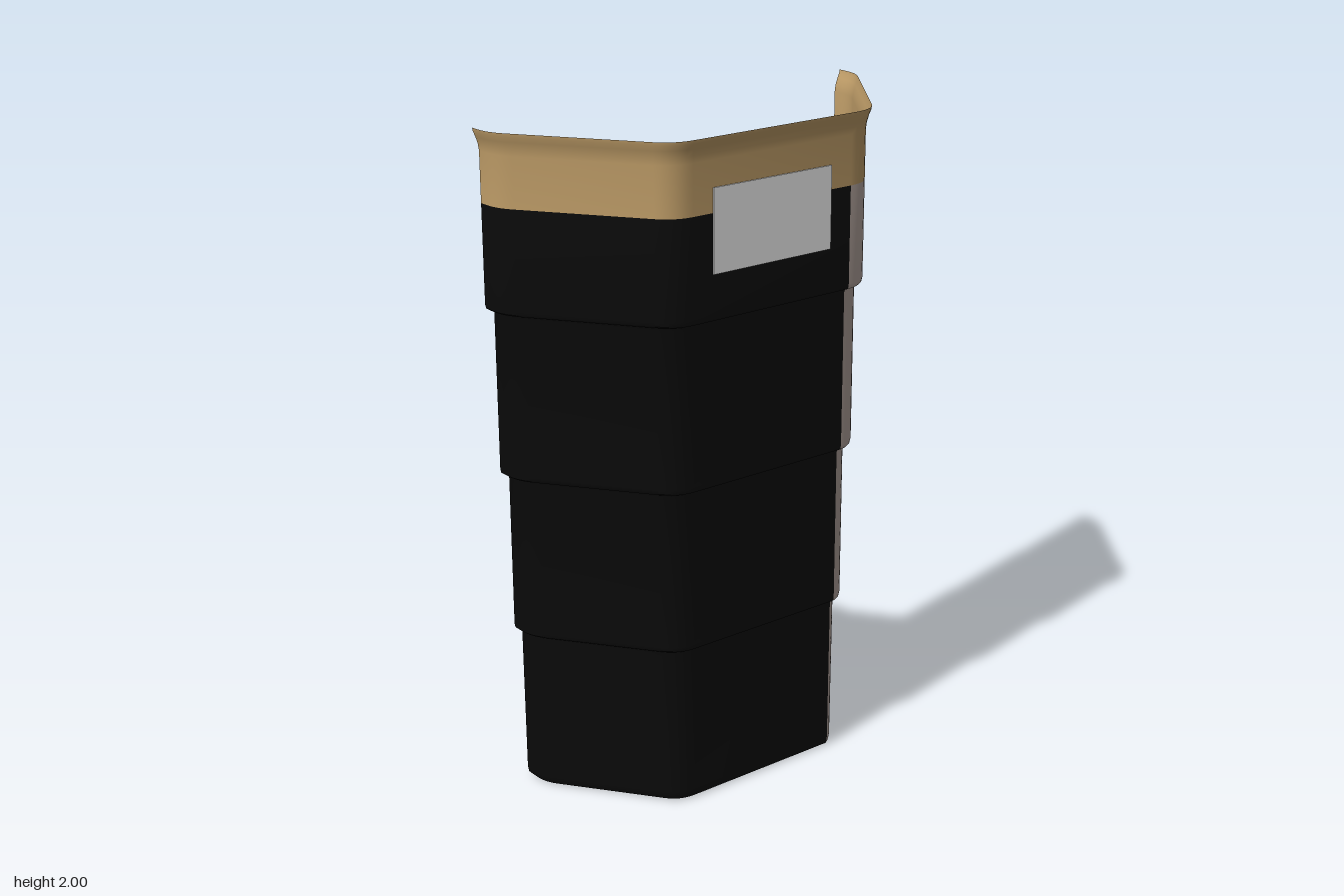
import * as THREE from 'three';
import { toCreasedNormals } from 'three/addons/utils/BufferGeometryUtils.js';

const BACK = -0.245;   // plane of the open back
const CENTRE = -0.18;  // z about which the tiers grow
const SEAM = 0.28;     // x of the join between dark and pale panels

// Rounded corner from a to b around the corner point c
function corner(a, c, b) {
  const v = (p) => new THREE.Vector2(p[0], p[1]);
  return new THREE.QuadraticBezierCurve(v(a), v(c), v(b)).getPoints(6).map((p) => [p.x, p.y]);
}

// Half of the plan outline for half width w, from the front (x = start) round to the back
function halfOutline(w, start) {
  const s = w / 0.64;
  const p = (x, z) => [x * s, CENTRE + (z - CENTRE) * s];
  const front = p(0.34, 0.235);
  return [
    ...corner([start, front[1]], front, p(0.376, 0.187)),
    ...corner(p(0.61, -0.13), p(0.64, -0.17), p(0.64, -0.215)),
    [w, BACK],
  ];
}

const paleOutline = (w) => halfOutline(w, SEAM);
const darkOutline = (w) => [
  ...halfOutline(w, 0.28 * w / 0.64).map(([x, z]) => [-x, z]).reverse(),
  [SEAM, paleOutline(w)[0][1]],
];
const fullOutline = (w) => [...darkOutline(w), ...paleOutline(w).slice(1)];

// Wall skinned through the outline at each [y, half width] of a profile
function wall(profile, outline) {
  const position = [], index = [];
  const n = outline(0.6).length;
  profile.forEach(([y, w], j) => {
    outline(w).forEach(([x, z], i) => {
      position.push(x, y, z);
      if (j && i) {
        const d = j * n + i, c = d - 1, b = d - n, a = b - 1;
        index.push(a, b, d, a, d, c);
      }
    });
  });
  const g = new THREE.BufferGeometry();
  g.setAttribute('position', new THREE.Float32BufferAttribute(position, 3));
  g.setIndex(index);
  g.computeVertexNormals();
  return toCreasedNormals(g, 0.65);
}

export function createModel() {
  const material = (name, color) => {
    const m = new THREE.MeshStandardMaterial({ color, side: THREE.DoubleSide });
    m.name = name;
    return m;
  };
  const dark = material('black', 0x0b0b0b);
  const pale = material('warm grey', 0xb5a69f);
  const tan = material('tan', 0xbf9d68);
  const white = material('white', 0xffffff);

  const model = new THREE.Group();
  model.name = 'steppedHalfCup';
  const add = (name, geometry, mat) => {
    const mesh = new THREE.Mesh(geometry, mat);
    mesh.name = name;
    model.add(mesh);
    return mesh;
  };

  // Four stacked tiers, each overhanging the one below with a rounded lip
  const tiers = [[0, 0.525], [0.004, 0.54], [0.012, 0.547], [0.03, 0.551], [0.485, 0.554]];
  [[0.495, 0.58], [0.99, 0.609], [1.485, 0.638]].forEach(([y, w], i) => {
    const top = i < 2 ? y + 0.485 : 1.79;
    tiers.push([y, w - 0.022], [y + 0.001, w - 0.01], [y + 0.006, w - 0.003], [y + 0.018, w], [top, w]);
  });
  add('darkPanel', wall(tiers, darkOutline), dark);
  add('palePanel', wall(tiers, paleOutline), pale);

  // Flared rim
  const rim = [[1.79, 0.638], [1.935, 0.638], [1.955, 0.641], [1.975, 0.648], [1.99, 0.655], [2, 0.657]];
  add('rim', wall(rim, fullOutline), tan);

  // Floor
  const plan = fullOutline(tiers[0][1]).map(([x, z]) => new THREE.Vector2(x, -z));
  add('floor', new THREE.ShapeGeometry(new THREE.Shape(plan)).rotateX(-Math.PI / 2), pale);

  // Blank label, visible inside and out
  const label = add('label', new THREE.BoxGeometry(0.418, 0.24, 0.008), white);
  label.position.set(-0.004, 1.74, fullOutline(0.638)[15][1]);

  return model;
}
